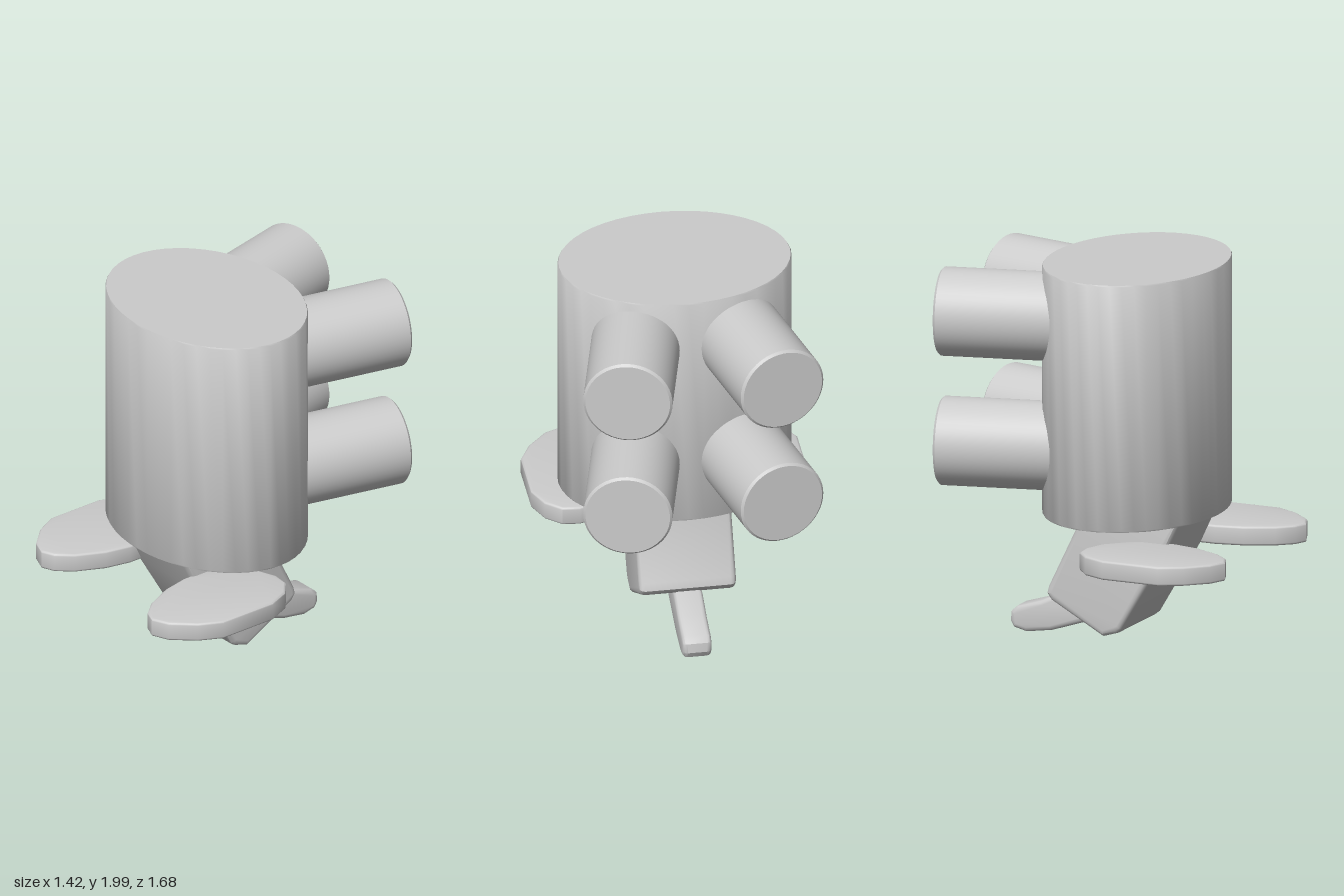
import * as THREE from 'three';
import { toCreasedNormals } from 'three/addons/utils/BufferGeometryUtils.js';

const material = new THREE.MeshStandardMaterial({ color: 0xcccccc });

function part(name, geometry) {
  const mesh = new THREE.Mesh(toCreasedNormals(geometry, 0.6), material);
  mesh.name = name;
  return mesh;
}

// Solid drum around y from 0 to height, with slightly softened rims
function drum(radius, height, soft) {
  const profile = [[0, 0], [radius - soft, 0], [radius, soft], [radius, height - soft], [radius - soft, height], [0, height]];
  return new THREE.LatheGeometry(profile.map(([r, y]) => new THREE.Vector2(r, y)), 48);
}

// Bevelled slab: outline in the shape plane, thickness centred on z
function slab(shape, thickness, bevel) {
  const geometry = new THREE.ExtrudeGeometry(shape, {
    depth: thickness - 2 * bevel, bevelThickness: bevel, bevelSize: bevel,
    bevelOffset: -bevel, bevelSegments: 3, curveSegments: 8,
  });
  return geometry.translate(0, 0, bevel - thickness / 2);
}

const points = (list) => list.map(([x, y]) => new THREE.Vector2(x, y));

// Side profile given as [z, y], extruded across x
function sideSlab(profile, width, bevel) {
  return slab(new THREE.Shape(points(profile).map((p) => p.set(-p.x, p.y))), width, bevel).rotateY(Math.PI / 2);
}

export function createModel() {
  const model = new THREE.Group();
  model.name = 'animal';

  // Upright oval body
  const body = part('body', drum(1, 1.29, 0.008).scale(0.597, 1, 0.452));
  body.position.set(-0.004, 0.71, 0.108);
  model.add(body);

  // Four stubby legs splayed out of the back
  for (const side of [-1, 1]) {
    for (const [name, y] of [['front', 1.05], ['rear', 1.725]]) {
      const leg = part(`${name}${side > 0 ? 'Left' : 'Right'}Leg`, drum(0.227, 0.66, 0.012).rotateX(-Math.PI / 2));
      leg.position.set(side * 0.245 - 0.013, y, -0.155);
      leg.rotation.y = -side * 0.235;
      model.add(leg);
    }
  }

  // Slanted block head, its top sunk into the body
  const head = part('head', sideSlab([
    [0.47, 0.74], [0.36, 0.5], [0.135, 0.12], [0.11, 0.1], [0.03, 0.075],
    [-0.26, 0.235], [-0.285, 0.27], [-0.275, 0.31], [-0.12, 0.63], [-0.13, 0.74],
  ], 0.5, 0.03));
  head.position.x = -0.01;
  model.add(head);

  // Thin tongue-like tip pointing backwards
  const tip = part('tip', sideSlab([
    [0.0, 0.16], [-0.1, 0.11], [-0.34, 0.03], [-0.48, 0.008], [-0.55, 0.025],
    [-0.57, 0.06], [-0.565, 0.11], [-0.53, 0.14], [-0.4, 0.18], [-0.27, 0.24], [-0.15, 0.25],
  ], 0.15, 0.025));
  tip.position.x = -0.012;
  model.add(tip);

  // Flat oval ears, outline given as [x, z]
  const outline = [[0.22, 0.44], [0.25, 0.58], [0.32, 0.73], [0.39, 0.81], [0.46, 0.838], [0.55, 0.8],
    [0.65, 0.69], [0.71, 0.57], [0.71, 0.25], [0.66, 0.13], [0.58, 0.06], [0.49, 0.05],
    [0.38, 0.09], [0.28, 0.19], [0.22, 0.31]];
  for (const side of [-1, 1]) {
    const shape = new THREE.Shape(points(outline).map((p) => p.set(side * p.x, -p.y * (side < 0 ? 0.975 : 1))));
    const ear = part(side > 0 ? 'leftEar' : 'rightEar', slab(shape, 0.1, 0.012).rotateX(-Math.PI / 2));
    ear.position.y = 0.545;
    model.add(ear);
  }

  return model;
}
